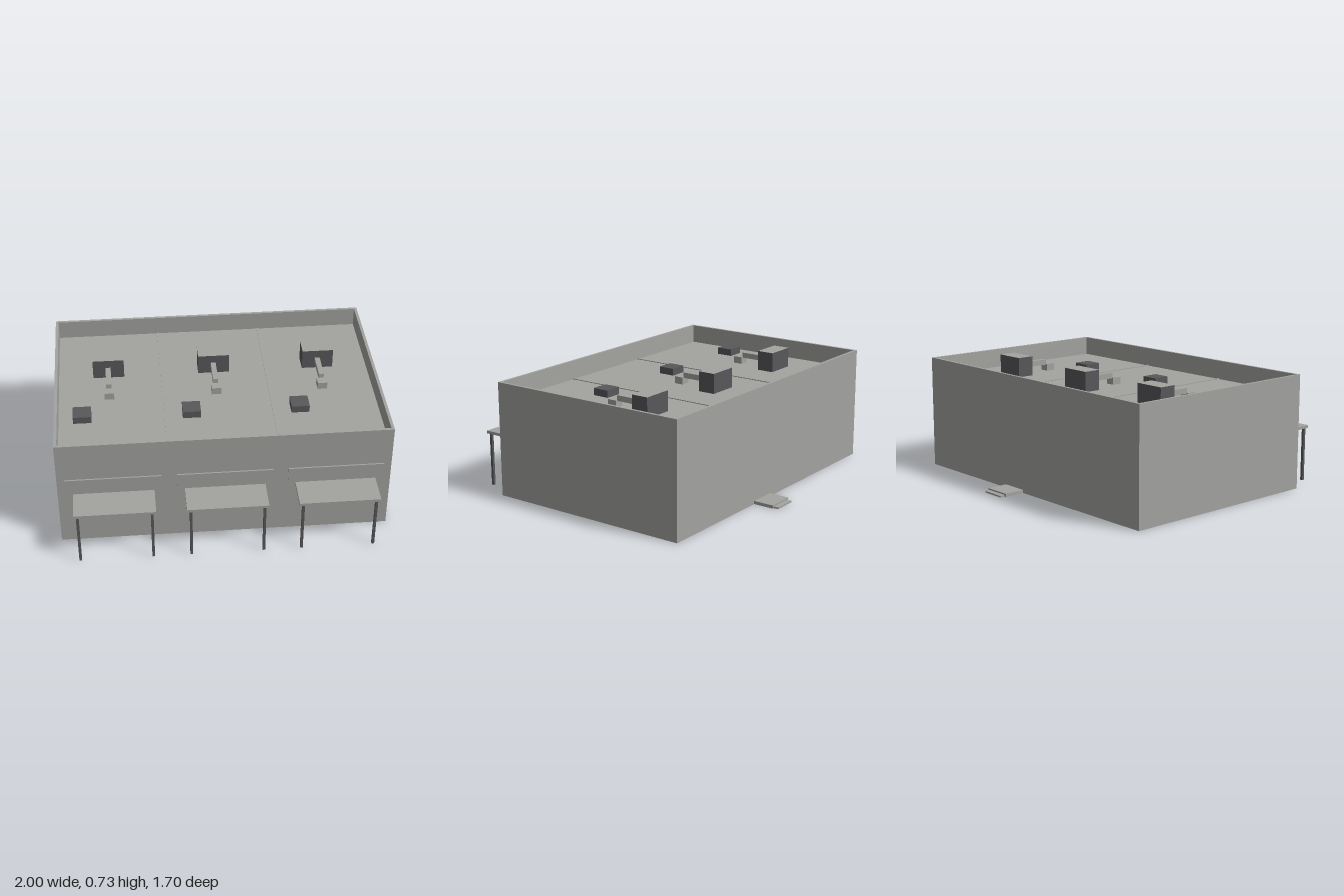
import * as THREE from 'three';

export function createModel() {
  const model = new THREE.Group();
  const plaster = new THREE.MeshStandardMaterial({ color: 0xa3a3a0, side: THREE.DoubleSide });
  plaster.name = 'light grey';
  const metal = new THREE.MeshStandardMaterial({ color: 0x58585b });
  metal.name = 'dark grey';

  // Box given by its limits on each axis
  function box(name, parent, mat, [x0, x1], [y0, y1], [z0, z1]) {
    const mesh = new THREE.Mesh(new THREE.BoxGeometry(x1 - x0, y1 - y0, z1 - z0), mat);
    mesh.position.set((x0 + x1) / 2, (y0 + y1) / 2, (z0 + z1) / 2);
    mesh.name = name;
    parent.add(mesh);
    return mesh;
  }

  const back = -0.685, front = 0.65, top = 0.72, roofY = 0.6, rim = 0.018;

  // Walls and parapet: a wall section carried round the four corners, open below
  const corners = [[-1, front, 1, -1], [1, front, -1, -1], [1, back, -1, 1], [-1, back, 1, 1]];
  const section = [[0, 0], [0, top], [rim, top], [rim, roofY]];
  const points = [];
  for (let i = 0; i < 4; i++) {
    const at = (c, [inset, y]) => [c[0] + c[2] * inset, y, c[1] + c[3] * inset];
    const a = corners[i], b = corners[(i + 1) % 4];
    for (let j = 0; j < 3; j++) {
      const p = at(a, section[j]), q = at(b, section[j]);
      const r = at(b, section[j + 1]), s = at(a, section[j + 1]);
      points.push(...p, ...q, ...r, ...p, ...r, ...s);
    }
  }
  const shell = new THREE.BufferGeometry();
  shell.setAttribute('position', new THREE.Float32BufferAttribute(points, 3));
  shell.computeVertexNormals();
  const walls = new THREE.Mesh(shell, plaster);
  walls.name = 'wallsAndParapet';
  model.add(walls);

  // Flat roof with two thin ridges between the bays
  box('roof', model, plaster, [-1 + 0.002, 1 - 0.002], [roofY - 0.004, roofY], [back + 0.002, front - 0.002]);
  for (const x of [-0.333, 0.333])
    box('roofRidge', model, plaster, [x - 0.005, x + 0.005], [roofY - 0.008, roofY + 0.005], [back + rim, front - rim]);

  // Three identical shop bays
  for (const x of [-0.667, 0, 0.667]) {
    const bay = new THREE.Group();
    bay.name = 'shopBay';
    bay.position.x = x;
    model.add(bay);

    // Canopy on two posts with a blank sign board above
    box('canopy', bay, plaster, [-0.243, 0.243], [0.34, 0.358], [front, 0.85]);
    for (const side of [-1, 1])
      box('canopyPost', bay, metal, [side * 0.219 - 0.008, side * 0.219 + 0.008], [0, 0.34], [0.828, 0.844]);
    box('signBoard', bay, plaster, [-0.288, 0.288], [0.38, 0.47], [front, 0.659]);

    // Roof unit with pale lid, duct, outlet and hatch
    box('roofUnit', bay, [metal, metal, plaster, metal, metal, metal], [-0.098, 0.098], [roofY, 0.727], [-0.3, -0.188]);
    box('duct', bay, plaster, [-0.018, 0.014], [0.64, 0.675], [-0.188, -0.008]);
    box('ductOutlet', bay, plaster, [-0.031, 0.029], [roofY, 0.645], [-0.012, 0.048]);
    box('roofHatch', bay, metal, [-0.226, -0.115], [roofY, 0.645], [0.17, 0.278]);
  }

  // Back door steps
  box('upperStep', model, plaster, [0.043, 0.218], [0, 0.02], [-0.818, back]);
  box('lowerStep', model, plaster, [0.055, 0.207], [0, 0.01], [-0.85, -0.818]);

  return model;
}
